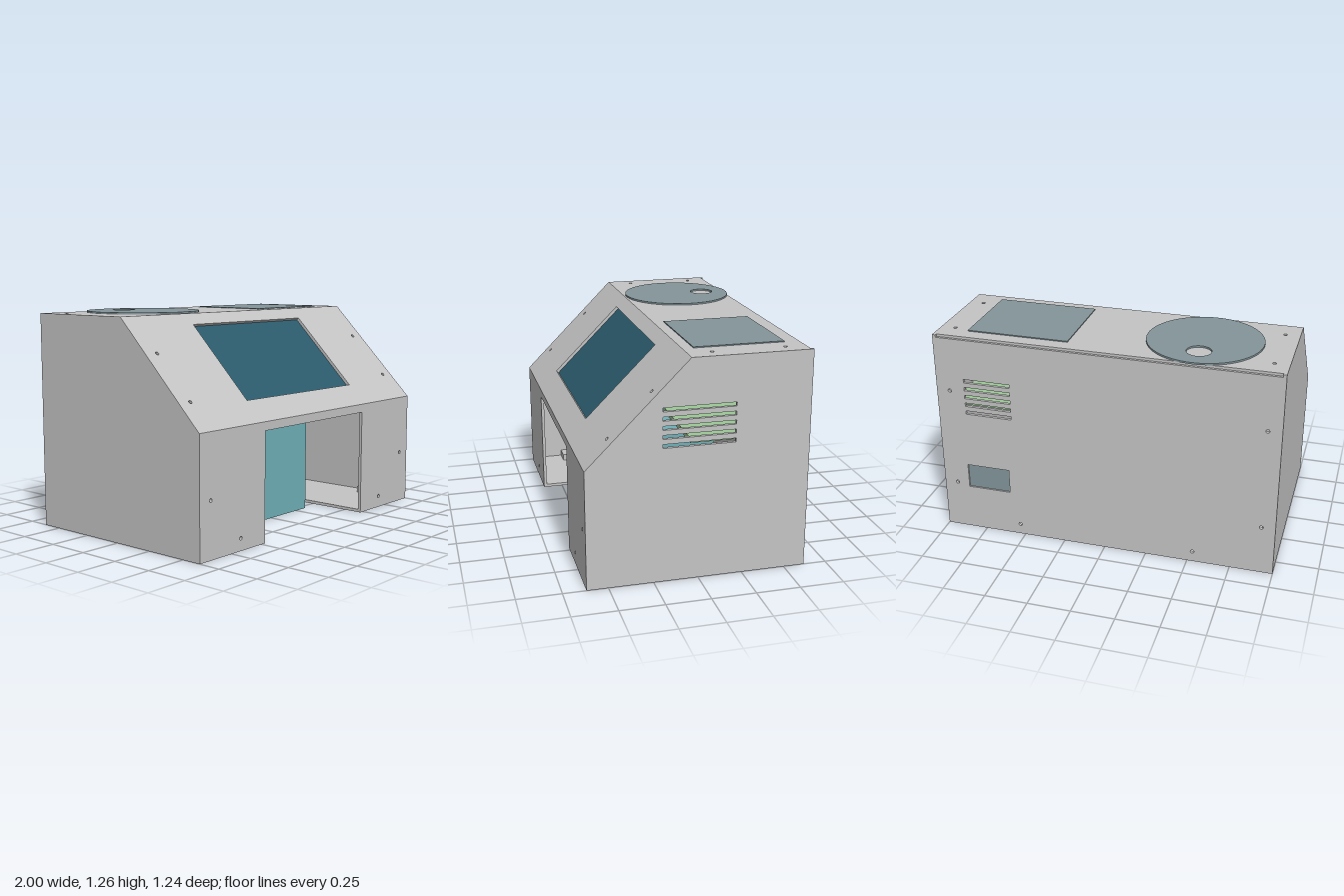
import * as THREE from 'three';

const T = 0.018; // sheet thickness

const mat = (name, color) => {
  const m = new THREE.MeshStandardMaterial({ color });
  m.name = name;
  return m;
};

const rect = (x0, y0, x1, y1) => [[x0, y0], [x1, y0], [x1, y1], [x0, y1]];

const toPath = (pts, Type = THREE.Path) => new Type(pts.map(([x, y]) => new THREE.Vector2(x, y)));

const circle = (x, y, r) => new THREE.Path().absarc(x, y, r, 0, Math.PI * 2, true);

// Flat sheet drawn in its own plane; its outer face is local z = 0
function sheet(name, material, outline, { cuts = [], screws = [], depth = T } = {}) {
  const shape = toPath(outline, THREE.Shape);
  cuts.forEach((c) => shape.holes.push(toPath(c)));
  screws.forEach(([x, y]) => shape.holes.push(circle(x, y, 0.011)));
  const geo = new THREE.ExtrudeGeometry(shape, { depth, bevelEnabled: false, curveSegments: 8 });
  geo.translate(0, 0, -depth);
  const mesh = new THREE.Mesh(geo, material);
  mesh.name = name;
  return mesh;
}

function box(name, material, x0, x1, y0, y1, z0, z1) {
  const mesh = new THREE.Mesh(new THREE.BoxGeometry(x1 - x0, y1 - y0, z1 - z0), material);
  mesh.position.set((x0 + x1) / 2, (y0 + y1) / 2, (z0 + z1) / 2);
  mesh.name = name;
  return mesh;
}

export function createModel() {
  const group = new THREE.Group();
  group.name = 'benchtopMachine';
  const grey = mat('light grey metal', 0xc4c4c4);
  const teal = mat('teal', 0x6eb0b8);
  const screenBlue = mat('dark blue screen', 0x2b5a6c);
  const slate = mat('slate', 0x83959a);
  const green = mat('board green', 0x9cc896);

  const W = 0.98, Z = 0.62, H = 1.25, R2 = Math.SQRT2;
  const both = (pts) => pts.flatMap(([x, y]) => [[x, y], [-x, y]]);

  // Five ventilation slits between two positions
  const slits = (a, b) => [0, 1, 2, 3, 4].map((i) => rect(a, 0.77 + i * 0.05, b, 0.792 + i * 0.05));

  // Side walls; only the left one is vented
  const profile = [[-Z, 0], [Z, 0], [Z, H], [-0.05, H], [-Z, 0.68]];
  const left = sheet('leftWall', grey, profile, { cuts: slits(-0.2, 0.2), depth: 0.02 });
  const right = sheet('rightWall', grey, profile, { depth: 0.02 });
  left.position.x = 1;
  right.position.x = -W;
  left.rotation.y = right.rotation.y = Math.PI / 2;

  // Front panel with the doorway
  const front = sheet('frontPanel', grey,
    [[-W, 0], [-0.47, 0], [-0.47, 0.63], [0.47, 0.63], [0.47, 0], [W, 0], [W, 0.68], [-W, 0.68]],
    { screws: both([[0.915, 0.32], [0.675, 0.07]]) });
  front.position.z = Z;

  // Sloping panel with the recessed screen
  const slope = new THREE.Group();
  slope.name = 'slopingPanel';
  slope.position.set(0, 0.68, Z);
  slope.rotation.x = -Math.PI / 4;
  const s0 = 0.11 * R2, s1 = 0.51 * R2;
  slope.add(
    sheet('slopeSheet', grey, rect(-W, 0, W, 0.57 * R2), {
      cuts: [rect(-0.495, s0, 0.49, s1)],
      screws: both([[0.915, 0.14 * R2], [0.915, 0.38 * R2]]),
    }),
    box('screen', screenBlue, -0.505, 0.5, s0 - 0.01, s1 + 0.01, -T - 0.009, -T),
  );

  // Top sheet
  const top = sheet('topPanel', grey, rect(-W, -0.05, W, 0.605),
    { screws: both([[0.915, 0.49], [0.915, 0.085]]) });
  top.rotation.x = -Math.PI / 2;
  top.position.y = H;

  // U-shaped floor, open under the doorway
  const floor = sheet('floor', grey,
    [[-W, -0.602], [-0.47, -0.602], [-0.47, 0.39], [0.47, 0.39], [0.47, -0.602], [W, -0.602], [W, 0.602], [-W, 0.602]],
    { screws: both([[0.92, -0.37], [0.92, 0.28], [0.17, 0.45]]) });
  floor.rotation.x = -Math.PI / 2;
  floor.position.y = T;

  // Back panel with vents and the socket opening
  const back = sheet('backPanel', grey, rect(-W, 0, W, 1.235), {
    cuts: [...slits(0.55, 0.83), rect(0.585, 0.28, 0.845, 0.43)],
    screws: both([[0.92, 0.91], [0.92, 0.3], [0.53, 0.065]]),
  });
  back.position.z = -Z + T;
  group.add(left, right, front, slope, top, floor, back);
  group.add(box('socketPlate', slate, 0.575, 0.855, 0.27, 0.44, -Z + 0.01, -Z + 0.03));

  // Round turntable plate with an eccentric hole
  const discShape = new THREE.Shape().absarc(-0.5, 0.29, 0.33, 0, Math.PI * 2, false);
  discShape.holes.push(circle(-0.5, 0.46, 0.07));
  const disc = new THREE.Mesh(
    new THREE.ExtrudeGeometry(discShape, { depth: 0.01, bevelEnabled: false, curveSegments: 32 }), slate);
  disc.name = 'roundPlate';
  disc.rotation.x = -Math.PI / 2;
  disc.position.y = H;
  group.add(disc);

  // Square pad on the top
  group.add(box('squarePad', slate, 0.23, 0.825, H, H + 0.006, -0.52, -0.01));

  // Block standing in the doorway
  group.add(box('centreBlock', teal, -0.348, 0.343, 0, 0.6, -0.292, 0.288));

  // Circuit board behind the vents
  group.add(box('circuitBoard', green, 0.4, 0.95, 0.768, 0.795, -0.5, 0.037));

  // Small drilled mounting blocks in the floor and roof corners
  const blockShape = toPath(rect(-0.05, -0.05, 0.05, 0.05), THREE.Shape);
  blockShape.holes.push(circle(0, 0, 0.018));
  const blockGeo = new THREE.ExtrudeGeometry(blockShape, { depth: 0.04, bevelEnabled: false, curveSegments: 8 });
  blockGeo.rotateX(-Math.PI / 2);
  const spots = [[T, -0.28], [T, 0.37], [H - T - 0.04, -0.49], [H - T - 0.04, -0.085]];
  for (const side of [-1, 1]) {
    for (const [y, z] of spots) {
      const block = new THREE.Mesh(blockGeo, grey);
      block.name = 'mountingBlock';
      block.position.set(side * 0.928, y, z);
      group.add(block);
    }
  }
  return group;
}
